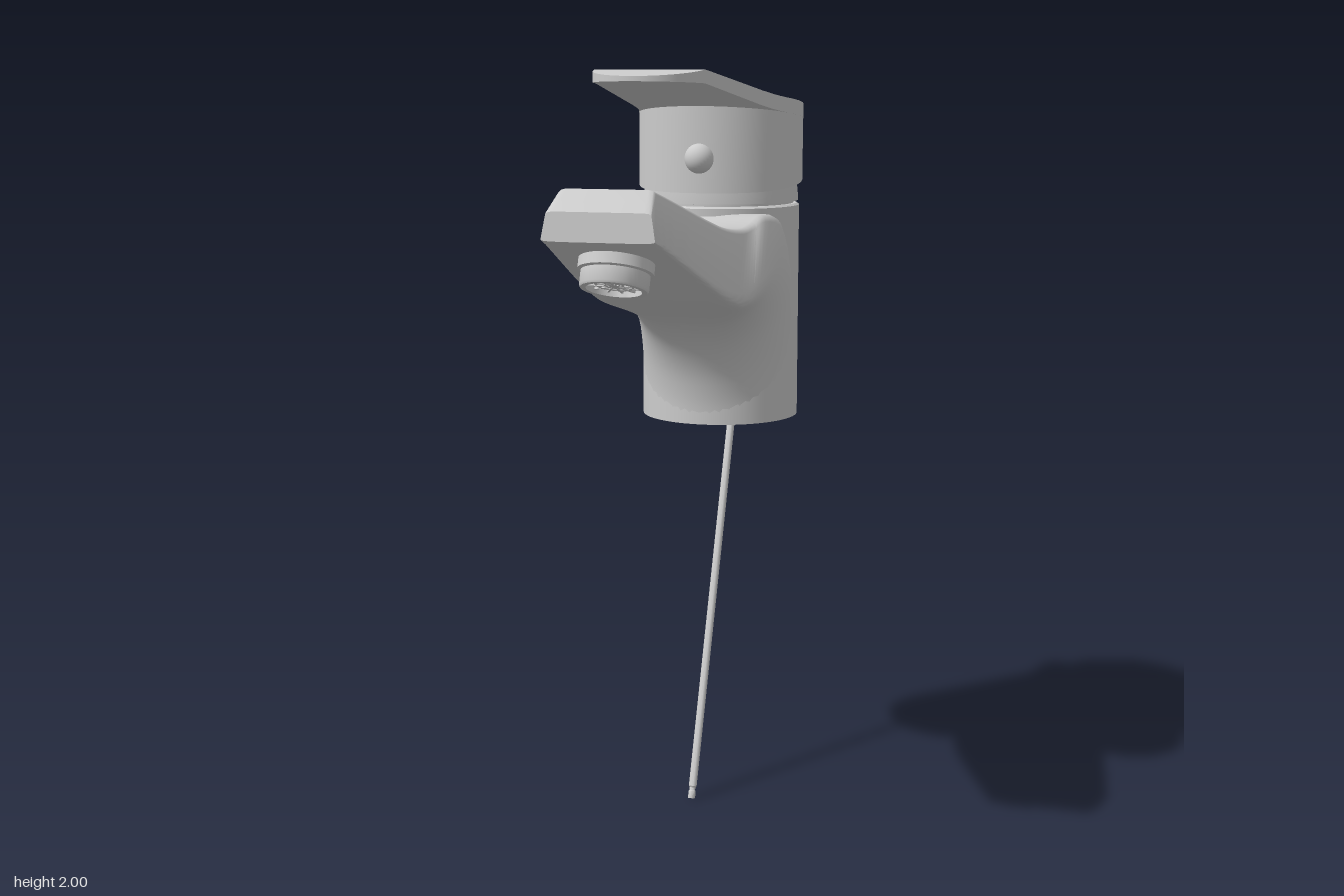
import * as THREE from 'three';
import { toCreasedNormals } from 'three/addons/utils/BufferGeometryUtils.js';

const AXIS_Z = -0.345; // centre line of the round body

// Skin a list of closed rings (counterclockwise seen from +z), capped at both ends
function loft(rings, crease) {
  const n = rings[0].length, pos = [], idx = [];
  rings.forEach(r => r.forEach(p => pos.push(...p)));
  for (let i = 0; i < rings.length - 1; i++) {
    for (let j = 0; j < n; j++) {
      const a = i * n + j, b = i * n + (j + 1) % n;
      idx.push(a, b, a + n, b, b + n, a + n);
    }
  }
  const cap = (ring, base, flip) => {
    const c = pos.length / 3;
    pos.push(...[0, 1, 2].map(k => ring.reduce((s, p) => s + p[k], 0) / n));
    for (let j = 0; j < n; j++) {
      const a = base + j, b = base + (j + 1) % n;
      idx.push(c, flip ? b : a, flip ? a : b);
    }
  };
  cap(rings[0], 0, true);
  cap(rings[rings.length - 1], (rings.length - 1) * n, false);
  const g = new THREE.BufferGeometry();
  g.setAttribute('position', new THREE.Float32BufferAttribute(pos, 3));
  g.setIndex(idx);
  return toCreasedNormals(g, crease);
}

const lathe = (pts, seg = 64) =>
  toCreasedNormals(new THREE.LatheGeometry(pts.map(p => new THREE.Vector2(...p)), seg), 0.6);

// Smooth interpolation between rows of numbers
function smoothRows(rows, steps) {
  const out = [], at = i => rows[Math.min(Math.max(i, 0), rows.length - 1)];
  for (let i = 0; i < rows.length - 1; i++) {
    for (let s = 0; s < steps; s++) {
      const t = s / steps;
      out.push(rows[i].map((p1, k) => {
        const p0 = at(i - 1)[k], p2 = at(i + 1)[k], p3 = at(i + 2)[k];
        return p1 + 0.5 * t * (p2 - p0 + t * (2 * p0 - 5 * p1 + 4 * p2 - p3 + t * (3 * (p1 - p2) + p3 - p0)));
      }));
    }
  }
  out.push(rows[rows.length - 1]);
  return out;
}

// One spout section: rounded underside, sloping flanks, flat top
function spoutRing([bz, by, tz, ty, w, wt, f, n]) {
  const half = [], N = 12;
  for (let i = 0; i <= N; i++) {
    const a = (i / N) * Math.PI / 2;
    const x = w * Math.pow(Math.sin(a), 2 / n);
    half.push([x, f * (1 - Math.pow(Math.max(Math.cos(a), 0), 2 / n))]);
  }
  const edge = Math.min(1, Math.max(f, 0.93));
  half.push([wt, edge], [wt - 0.006, edge + (1 - edge) * 0.7], [wt - 0.018, 1], [0, 1]);
  const mirrored = half.slice(1, -1).reverse().map(([x, t]) => [-x, t]);
  return [...half, ...mirrored].map(([x, t]) => [x, by + (ty - by) * t, bz + (tz - bz) * t]);
}

function spoutGeometry() {
  // underside z, y; top z, y; width; top width; rounding depth; squareness
  const rows = [
    [-0.131, 1.053, -0.345, 1.053, 0.213, 0.213, 1, 2],
    [-0.125, 1.12, -0.345, 1.18, 0.213, 0.213, 1, 2],
    [-0.105, 1.2, -0.345, 1.32, 0.213, 0.213, 0.95, 2.1],
    [-0.065, 1.275, -0.335, 1.46, 0.213, 0.211, 0.85, 2.3],
    [-0.01, 1.33, -0.26, 1.595, 0.208, 0.2, 0.6, 2.6],
    [0.05, 1.362, -0.16, 1.622, 0.201, 0.178, 0.4, 3],
    [0.12, 1.388, -0.1, 1.602, 0.193, 0.16, 0.25, 3.6],
    [0.2, 1.414, -0.03, 1.594, 0.186, 0.152, 0.18, 4.5],
    [0.3, 1.452, 0.11, 1.608, 0.176, 0.145, 0.13, 5],
    [0.42, 1.5, 0.27, 1.643, 0.165, 0.136, 0.1, 5],
    [0.6, 1.572, 0.52, 1.705, 0.148, 0.122, 0.1, 5],
    [0.67, 1.6, 0.64, 1.733, 0.141, 0.117, 0.1, 5],
  ];
  const tip = [0.712, 1.617, 0.705, 1.685, 0.136, 0.126, 0.1, 5];
  return loft([...smoothRows(rows, 4), tip].map(spoutRing), 0.75);
}

// Piecewise linear lookup
function lerpKeys(keys, z) {
  let i = 0;
  while (i < keys.length - 2 && z > keys[i + 1][0]) i++;
  const [z0, v0] = keys[i], [z1, v1] = keys[i + 1];
  return v0 + (v1 - v0) * (z - z0) / (z1 - z0);
}
const leverTop = z => lerpKeys([[-0.57, 1.885], [0.31, 2.0], [0.45, 1.985]], z);
const leverBottom = z => lerpKeys([[-0.57, 1.845], [-0.12, 1.905], [0.31, 1.967], [0.45, 1.973]], z);

function leverWidth(z) {
  if (z < -0.26) return Math.sqrt(Math.max(0.225 ** 2 - (z - AXIS_Z) ** 2, 1e-6));
  if (z > 0.3) return 0.14 * Math.sqrt(Math.max(1 - ((z - 0.3) / 0.15) ** 2, 1e-5));
  return lerpKeys([[-0.26, 0.208], [-0.2, 0.191], [-0.1, 0.177], [0, 0.168], [0.3, 0.14]], z);
}

function leverGeometry() {
  const zs = [];
  for (let i = 0; i <= 24; i++) zs.push(AXIS_Z - 0.225 * Math.cos(i / 24 * 1.95));
  for (let z = -0.22; z < 0.29; z += 0.04) zs.push(z);
  for (let i = 0; i <= 20; i++) zs.push(0.3 + 0.15 * Math.sin(i / 20 * Math.PI / 2));
  return loft(zs.map(z => {
    const w = leverWidth(z), b = leverBottom(z), t = leverTop(z);
    return [[0, b, z], [w, b, z], [w, t, z], [0, t, z], [-w, t, z], [-w, b, z]];
  }), 0.5);
}

// Round cap with a slanted top and a curved lower rim
function capGeometry() {
  const g = new THREE.CylinderGeometry(0.2245, 0.2245, 1, 72, 1);
  g.translate(0, 0, AXIS_Z);
  const p = g.attributes.position;
  for (let i = 0; i < p.count; i++) {
    const z = p.getZ(i);
    const back = Math.max(0, (-0.12 - z) / 0.45);
    p.setY(i, p.getY(i) > 0 ? leverTop(z) - 0.015 : 1.677 + 0.065 * Math.pow(back, 1.7));
  }
  return toCreasedNormals(g, 0.6);
}

export function createModel() {
  const root = new THREE.Group();
  const mat = new THREE.MeshStandardMaterial({ color: 0xcccccc });
  const add = (name, geo, parent = root, x = 0, y = 0, z = 0) => {
    const m = new THREE.Mesh(geo, mat);
    m.name = name;
    m.position.set(x, y, z);
    parent.add(m);
    return m;
  };

  // Body column, collar and spout
  add('body', lathe([[0, 1.052], [0.216, 1.052], [0.216, 1.635], [0.209, 1.64], [0, 1.64]]), root, 0, 0, AXIS_Z);
  add('collar', lathe([[0.2, 1.62], [0.2, 1.646], [0.213, 1.647], [0.212, 1.67], [0.202, 1.76], [0, 1.76]]), root, 0, 0, AXIS_Z);
  add('spout', spoutGeometry());

  // Handle: cap, lever and temperature button
  const handle = new THREE.Group();
  handle.name = 'handle';
  root.add(handle);
  add('handleCap', capGeometry(), handle);
  add('handleLever', leverGeometry(), handle);
  add('temperatureButton', new THREE.SphereGeometry(0.041, 32, 20), handle, 0, 1.768, -0.132);

  // Aerator under the spout tip, with a recessed grille
  const aerator = new THREE.Group();
  aerator.name = 'aerator';
  aerator.position.set(0, 1.53, 0.584);
  aerator.rotation.x = -0.36;
  root.add(aerator);
  add('aeratorHousing', lathe([[0, -0.018], [0.066, -0.018], [0.066, -0.035], [0.079, -0.035],
    [0.082, -0.03], [0.082, 0.005], [0.09, 0.008], [0.09, 0.06], [0, 0.06]], 48), aerator);
  [0.022, 0.044].forEach(r => {
    const ring = add('grilleRing', new THREE.TorusGeometry(r, 0.004, 6, 32), aerator, 0, -0.022, 0);
    ring.rotation.x = Math.PI / 2;
  });
  for (let i = 0; i < 6; i++) {
    const spoke = add('grilleSpoke', new THREE.BoxGeometry(0.132, 0.008, 0.005), aerator, 0, -0.022, 0);
    spoke.rotation.y = i * Math.PI / 6;
  }

  // Slanted drain rod with a tapered pull knob
  const drain = new THREE.Group();
  drain.name = 'drainControl';
  drain.position.set(0, 0.004, -0.055);
  drain.rotation.x = -0.389;
  root.add(drain);
  add('drainRod', lathe([[0, 0], [0.009, 0], [0.01, 0.004], [0.01, 0.02], [0.008, 0.023],
    [0.008, 0.03], [0.011, 0.034], [0.011, 1.5], [0, 1.5]], 16), drain);
  add('drainKnob', lathe([[0, 1.485], [0.021, 1.485], [0.025, 1.49], [0.049, 1.608],
    [0.049, 1.622], [0.045, 1.629], [0, 1.631]], 32), drain);

  return root;
}
